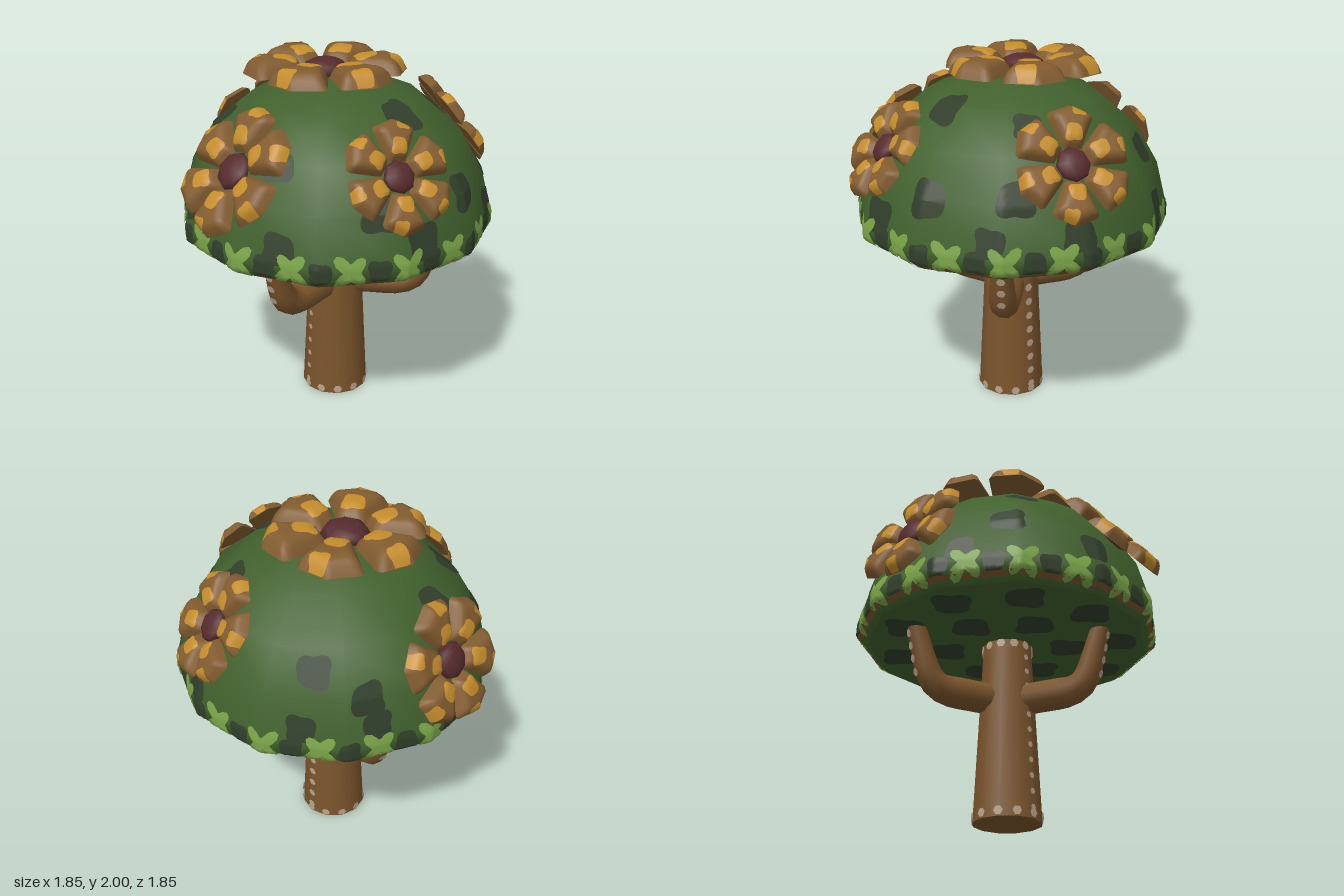
import * as THREE from 'three';
import { mergeGeometries } from 'three/addons/utils/BufferGeometryUtils.js';

const RAD = Math.PI / 180;
const mat = (name, color, side = THREE.FrontSide) => {
  const m = new THREE.MeshStandardMaterial({ color, side });
  m.name = name;
  return m;
};

// Dome outline from rim to crown: [radius, height]
const PROFILE = [[0.81, 1.04], [0.875, 1.09], [0.875, 1.16], [0.81, 1.41], [0.68, 1.63], [0.46, 1.81], [0.22, 1.905]];

// Point on the twelve-sided dome, lifted along the surface normal
function domePoint(theta, y, lift) {
  let i = 0;
  while (i < PROFILE.length - 2 && y > PROFILE[i + 1][1]) i++;
  const [r0, y0] = PROFILE[i], [r1, y1] = PROFILE[i + 1];
  const len = Math.hypot(r1 - r0, y1 - y0), slope = (y1 - y0) / len;
  const d = ((((theta / RAD - 11) % 30) + 30) % 30 - 15) * RAD;
  const r = (r0 + (r1 - r0) * (y - y0) / (y1 - y0)) * Math.cos(15 * RAD) / Math.cos(d) + lift * slope;
  return [r * Math.cos(theta), y + lift * (r0 - r1) / len, r * Math.sin(theta), slope, r];
}

// Thin blob: rings of points spread by an outline rule and mapped by place(u, v)
function blob(outline, place, rings = 5, n = 28) {
  const pos = [], idx = [];
  for (let k = 0; k <= rings; k++) for (let j = 0; j < n; j++) {
    const a = j / n * Math.PI * 2, r = outline(a) * k / rings;
    pos.push(...place(r * Math.cos(a), r * Math.sin(a)));
  }
  for (let k = 0; k < rings; k++) for (let j = 0; j < n; j++) {
    const a = k * n + j, b = k * n + (j + 1) % n;
    idx.push(a, a + n, b + n);
    if (k) idx.push(a, b + n, b);
  }
  const g = new THREE.BufferGeometry();
  g.setAttribute('position', new THREE.Float32BufferAttribute(pos, 3));
  g.setIndex(idx);
  g.computeVertexNormals();
  return g;
}

function domeBlob(deg, y0, outline, lift) {
  const [, , , slope, r] = domePoint(deg * RAD, y0, 0);
  return blob(outline, (u, v) => domePoint(deg * RAD - u / r, Math.min(1.9, y0 + v * slope), lift).slice(0, 3));
}
const squarish = (size, seed) => a => size * (1 - 0.1 * Math.cos(4 * a) + 0.09 * Math.cos(3 * a + seed));
const splat = (size, seed) => a => size * (0.74 - 0.3 * Math.cos(4 * a) + 0.08 * Math.cos(3 * a + seed));

// Five-sided petal outline about its middle: [edge direction in degrees, distance]
const PETAL_EDGES = [[-90, 0.17], [-23.3, 0.13], [203.3, 0.13], [67.2, 0.147], [112.8, 0.147]];
const PETAL_MID = 0.29;
const petalOutline = a => Math.min(...PETAL_EDGES.map(([n, d]) => d / Math.max(0.01, Math.cos(a - n * RAD))));
// Point on the domed petal top, kept within the outline
function petalPoint(u, w, lift) {
  const k = Math.hypot(u, w) / petalOutline(Math.atan2(w, u)), s = 1 / Math.max(1, k);
  return [u * s, 0.085 * (1 - Math.min(1, k) ** 5) + lift, PETAL_MID + w * s];
}

export function createModel() {
  const model = new THREE.Group();
  const M = {
    bark: mat('bark brown', 0x7b552c),
    leaf: mat('leaf green', 0x41612d),
    shade: mat('dark leaf patch', 0x313f2b, THREE.DoubleSide),
    light: mat('light leaf green', 0x7ba548, THREE.DoubleSide),
    petal: mat('petal brown', 0x825c30),
    spot: mat('orange spot', 0xc58d2c, THREE.DoubleSide),
    hub: mat('maroon', 0x562b2e),
    stitch: mat('pale stitch', 0xbda58c, THREE.DoubleSide),
  };
  const tree = new THREE.Group();
  tree.name = 'tree';
  tree.position.set(0.01, 0, 0.012);
  model.add(tree);
  const add = (name, geo, material, parent = tree) => {
    const m = new THREE.Mesh(geo, material);
    m.name = name;
    parent.add(m);
    return m;
  };

  // Tapered trunk
  add('trunk', new THREE.CylinderGeometry(0.14, 0.193, 1.05, 12), M.bark).position.y = 0.525;

  // Pale stitches down both sides and round both ends
  const stitches = [];
  const stitch = (r, y, deg, size, pitch = 0) => {
    const g = new THREE.CircleGeometry(size, 6).rotateX(pitch).rotateY((90 - deg) * RAD);
    stitches.push(g.translate(r * Math.cos(deg * RAD), y, r * Math.sin(deg * RAD)));
  };
  const trunkStitch = (deg, y, size) => stitch(0.193 - 0.053 * y / 1.05 + 0.004, y, deg, size);
  for (let i = 0; i < 12; i++) for (const side of [0, 180]) trunkStitch(side, 0.06 + i * 0.088, side ? 0.018 : 0.025);
  for (let i = 0; i < 12; i++) for (const y of [0.03, 1.015]) trunkStitch(i * 30, y, 0.026);

  // Three bent branches with tapering tips, stitched along the outside
  const path = new THREE.CatmullRomCurve3([[0, 0.703], [0.2, 0.703], [0.38, 0.703], [0.455, 0.735], [0.5, 0.805], [0.58, 1.07]]
    .map(([r, y]) => new THREE.Vector3(r, y, 0)), false, 'catmullrom', 0.3);
  const taper = t => 1 - 0.42 * Math.max(0, (t - 0.4) / 0.6);
  const branchGeo = new THREE.TubeGeometry(path, 16, 0.088, 10);
  const bp = branchGeo.attributes.position, v = new THREE.Vector3();
  for (let i = 0; i < bp.count; i++) {
    const t = Math.floor(i / 11) / 16, c = path.getPointAt(t);
    v.fromBufferAttribute(bp, i).sub(c).multiplyScalar(taper(t)).add(c);
    bp.setXYZ(i, v.x, v.y, v.z);
  }
  for (const deg of [161, 43, -73]) {
    add('branch', branchGeo, M.bark).rotation.y = -deg * RAD;
    for (const t of [0.66, 0.75, 0.84, 0.93]) {
      const c = path.getPointAt(t), d = path.getTangentAt(t), r = 0.088 * taper(t) + 0.003;
      stitch(c.x + d.y * r, c.y - d.x * r, deg, 0.025, Math.atan2(d.x, d.y));
    }
  }
  add('stitches', mergeGeometries(stitches), M.stitch);

  // Leafy dome, flat underside and thin brown hem
  const lathe = pts => new THREE.LatheGeometry(pts.map(p => new THREE.Vector2(...p)), 12, 19 * RAD);
  add('leafDome', lathe([...PROFILE, [0, 1.908]]), M.leaf);
  add('domeUnderside', lathe([[0, 1.04], [0.81, 1.04]]), M.leaf);
  add('hem', lathe([[0.846, 1.06], [0.872, 1.08]]), M.bark);

  // Dark patches on the dome: [angle, height, size]
  const dark = [
    [69, 1.41, 0.1], [109, 1.41, 0.1], [81, 1.78, 0.1], [93, 1.25, 0.1], [149, 1.6, 0.08], [36, 1.44, 0.1],
    [-37, 1.53, 0.09], [-33, 1.25, 0.08], [14, 1.25, 0.09], [-57, 1.4, 0.09], [217, 1.68, 0.1], [29, 1.74, 0.08],
    [258, 1.68, 0.09], [225, 1.42, 0.1], [191, 1.3, 0.09], [145, 1.23, 0.09], [242, 1.24, 0.08], [300, 1.26, 0.08],
    [45, 1.24, 0.08],
  ].map(([d, y, s], i) => domeBlob(d, y, squarish(s, i * 1.7), 0.004));

  // Light splats round the rim with dark patches between them
  const rim = [];
  for (let i = 0; i < 18; i++) {
    rim.push(domeBlob(i * 20, 1.14, splat(0.102, i * 2.1), 0.008));
    dark.push(domeBlob(i * 20 + 10, 1.135, squarish(0.062, i), 0.004));
  }
  // Patches under the dome
  for (const [count, r] of [[10, 0.64], [6, 0.35]]) for (let i = 0; i < count; i++) {
    const a = i / count * Math.PI * 2 + r, s = squarish(0.11, i * 1.3);
    dark.push(blob(b => s(b + Math.PI / 4), (u, w) => [r * Math.cos(a) + u, 1.035, r * Math.sin(a) + w], 1));
  }
  add('darkPatches', mergeGeometries(dark), M.shade);
  add('rimSplats', mergeGeometries(rim), M.light);

  // Flower: domed petals with a flat back, an inner and a tip spot, and a rounded hub
  const petalGeo = mergeGeometries([
    blob(petalOutline, (u, w) => petalPoint(-u, w, 0), 7, 36),
    blob(petalOutline, (u, w) => [u, 0, PETAL_MID + w], 1, 36),
  ]);
  const spotGeo = mergeGeometries([[0, -0.072, 0.066, 1], [0.05, 0.105, 0.055, 2]].map(([cu, cw, size, seed]) =>
    blob(squarish(size, seed), (u, w) => petalPoint(-cu - u, cw + w, 0.005), 5, 20)));
  const hubGeo = new THREE.SphereGeometry(0.13, 8, 6).scale(1, 0.5, 1);

  // [x, y, z, azimuth, elevation of the facing direction, size, spin]
  for (const [x, y, z, az, el, size, spin] of [
    [0, 1.915, -0.07, 0, 90, 1, 2],
    [-0.12, 1.572, 0.733, -8, 35, 0.67, -10],
    [0.705, 1.58, 0.17, 70, 36, 0.7, -8],
    [-0.04, 1.45, -0.765, 183, 23, 0.77, 12],
    [-0.695, 1.54, 0.14, -84, 38, 0.81, 8],
  ]) {
    const flower = new THREE.Group();
    flower.name = 'flower';
    flower.position.set(x, y, z);
    flower.rotation.set((90 - el) * RAD, az * RAD, 0, 'YXZ');
    flower.scale.setScalar(size);
    for (let i = 0; i < 6; i++) {
      const petal = add('petal', petalGeo, M.petal, flower);
      petal.rotation.y = (i * 60 + spin) * RAD;
      add('petalSpots', spotGeo, M.spot, petal);
    }
    add('flowerHub', hubGeo, M.hub, flower).position.y = 0.012;
    model.add(flower);
  }
  return model;
}
